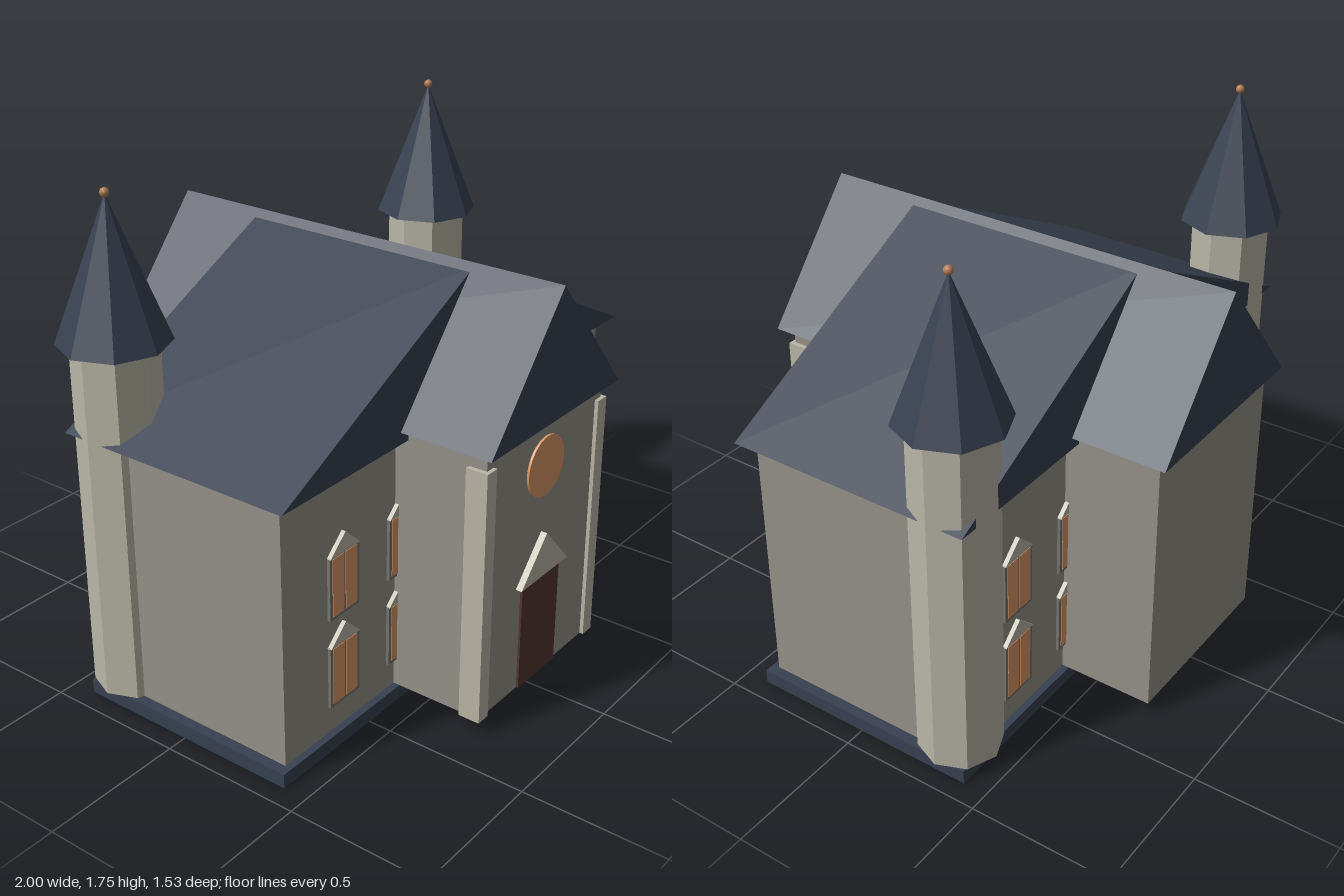
import * as THREE from 'three';

function makeMaterial(name, color) {
  const m = new THREE.MeshStandardMaterial({ color });
  m.name = name;
  return m;
}

export function createModel() {
  const wall = makeMaterial('wall stone', 0x949188);
  const trim = makeMaterial('pale stone', 0xb9b6a6);
  const slate = makeMaterial('slate', 0x384050);
  const glass = makeMaterial('warm glass', 0xd69767);
  const frame = makeMaterial('window frame', 0x76746d);
  const wood = makeMaterial('door wood', 0x53352f);
  const copper = makeMaterial('copper', 0xb07a54);

  const model = new THREE.Group();
  model.name = 'chapel';

  function add(parent, name, geometry, material, x = 0, y = 0, z = 0) {
    const mesh = new THREE.Mesh(geometry, material);
    mesh.name = name;
    mesh.position.set(x, y, z);
    parent.add(mesh);
    return mesh;
  }
  // Box given by its width, depth and bottom/top heights
  function block(parent, name, material, w, d, y0, y1, x = 0, z = 0) {
    return add(parent, name, new THREE.BoxGeometry(w, y1 - y0, d), material, x, (y0 + y1) / 2, z);
  }
  // Triangular prism along z, base at y = 0, centred on z = 0
  function prism(halfWidth, height, depth) {
    const s = new THREE.Shape();
    s.moveTo(-halfWidth, 0);
    s.lineTo(halfWidth, 0);
    s.lineTo(0, height);
    s.closePath();
    return new THREE.ExtrudeGeometry(s, { depth, bevelEnabled: false }).translate(0, 0, -depth / 2);
  }
  // Separate the faces so that each side is flat
  function faceted(geometry) {
    const g = geometry.toNonIndexed();
    g.computeVertexNormals();
    return g;
  }

  // Plinth, main hall and cross wing
  block(model, 'plinth', slate, 1.86, 0.83, 0, 0.05);
  block(model, 'hall', wall, 1.785, 0.78, 0.05, 0.965);
  block(model, 'wing', wall, 0.67, 1.455, 0.05, 1.003);

  // Gabled roofs with ridges running front to back
  add(model, 'hallRoof', prism(0.94, 0.468, 0.875), slate, 0, 0.962, 0);
  add(model, 'wingRoof', prism(0.375, 0.442, 1.535), slate, 0, 1.003, 0);

  // Front pilasters
  for (const side of [-1, 1]) {
    block(model, 'pilaster', trim, 0.052, 0.078, 0.05, 0.945, side * 0.326, 0.702);
  }

  // Door, its pediment and the round window
  block(model, 'door', wood, 0.222, 0.009, 0.05, 0.44, 0, 0.731);
  add(model, 'doorPediment', prism(0.14, 0.152, 0.03), trim, 0, 0.44, 0.735);
  add(model, 'roundWindow', new THREE.CylinderGeometry(0.105, 0.105, 0.009, 32).rotateX(Math.PI / 2),
    glass, 0, 0.83, 0.731);

  // Windows: frame, two panes, mullion gap and a small pediment
  function makeWindow(x, y) {
    const g = new THREE.Group();
    g.name = 'window';
    block(g, 'windowFrame', frame, 0.145, 0.016, 0, 0.222);
    for (const side of [-1, 1]) {
      block(g, 'pane', glass, 0.056, 0.004, 0.011, 0.215, side * 0.032, 0.008);
    }
    add(g, 'windowPediment', prism(0.074, 0.068, 0.024), trim, 0, 0.22, 0);
    g.position.set(x, y, 0.393);
    return g;
  }
  for (const turn of [0, Math.PI]) {
    const row = new THREE.Group();
    row.name = turn ? 'backWindows' : 'frontWindows';
    row.rotation.y = turn;
    for (const x of [-0.607, -0.305, 0.305, 0.607]) {
      for (const y of [0.146, 0.466]) row.add(makeWindow(x, y));
    }
    model.add(row);
  }

  // Eight-sided towers with spires and finials
  for (const side of [-1, 1]) {
    const tower = new THREE.Group();
    tower.name = side > 0 ? 'leftTower' : 'rightTower';
    add(tower, 'shaft', faceted(new THREE.CylinderGeometry(0.14, 0.14, 1.21, 8)), trim, 0, 0.655, 0);
    add(tower, 'spire', faceted(new THREE.ConeGeometry(0.182, 0.47, 8)), slate, 0, 1.493, 0);
    add(tower, 'finial', new THREE.SphereGeometry(0.015, 12, 8), copper, 0, 1.73, 0);
    tower.position.set(side * 0.816, 0, -0.32);
    model.add(tower);
  }

  return model;
}
